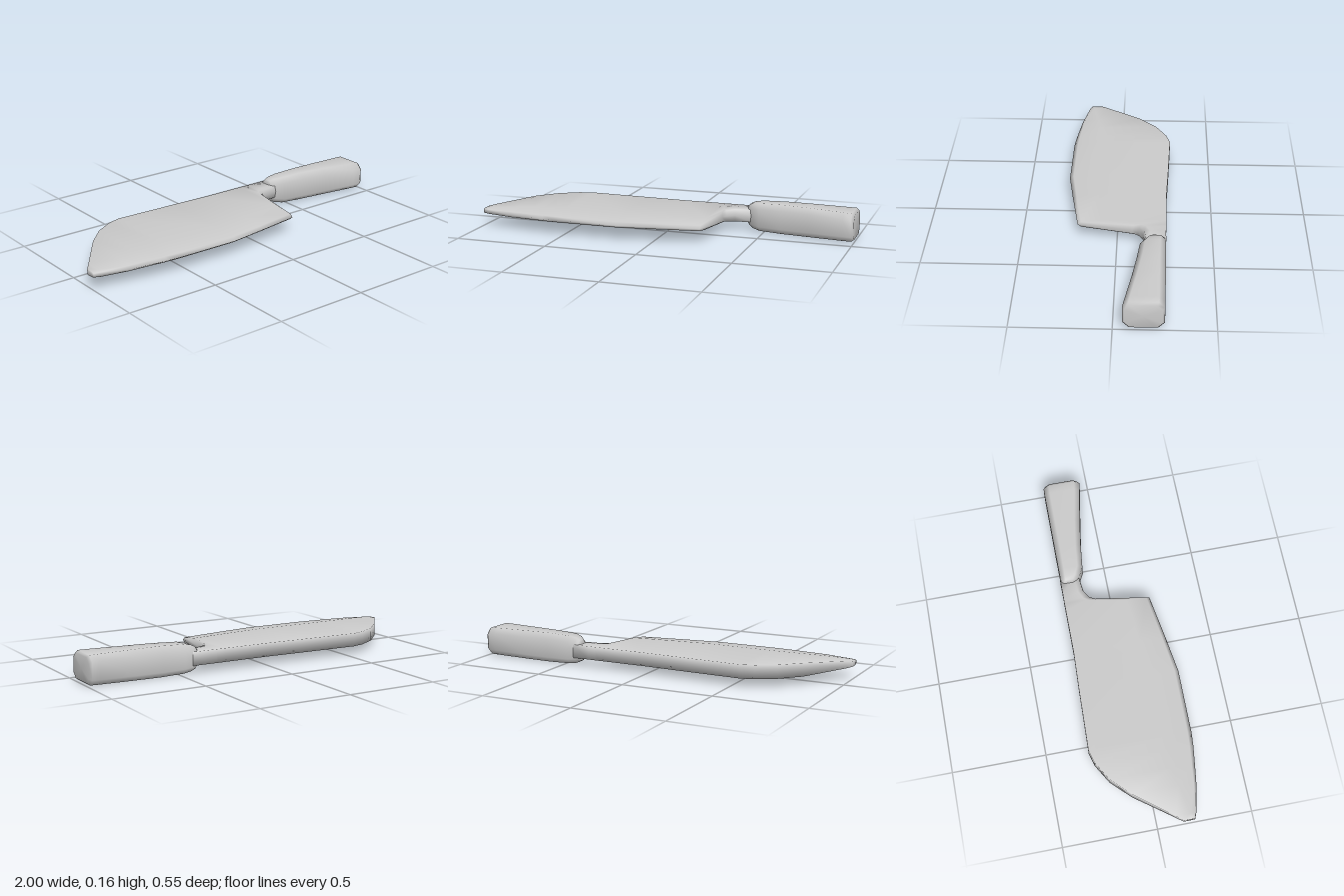
import * as THREE from 'three';

const MID_Y = 0.081;

// Skin a list of closed rings ([x, y, z] points, running from y+ toward z+) with capped ends
function loft(rings, name) {
  const n = rings[0].length;
  const positions = rings.flat(2);
  const index = [];
  for (let i = 0; i < rings.length - 1; i++) {
    for (let j = 0; j < n; j++) {
      const k = (j + 1) % n;
      const a = i * n + j, b = i * n + k, c = b + n, d = a + n;
      index.push(a, b, c, a, c, d);
    }
  }
  const addCap = (ring, start, flip) => {
    const centre = positions.length / 3;
    for (let axis = 0; axis < 3; axis++) {
      positions.push(ring.reduce((sum, p) => sum + p[axis], 0) / n);
    }
    for (let j = 0; j < n; j++) {
      const a = start + j, b = start + (j + 1) % n;
      index.push(centre, flip ? b : a, flip ? a : b);
    }
  };
  addCap(rings[0], 0, true);
  addCap(rings[rings.length - 1], (rings.length - 1) * n, false);

  const geometry = new THREE.BufferGeometry();
  geometry.setAttribute('position', new THREE.Float32BufferAttribute(positions, 3));
  geometry.setIndex(index);
  geometry.computeVertexNormals();
  const mesh = new THREE.Mesh(geometry, new THREE.MeshStandardMaterial({ color: 0xcccccc }));
  mesh.name = name;
  return mesh;
}

// Wedge section: thick spine at the back, bevel and cutting edge at the front
function bladeRing([x, spine, edge, hSpine, hFlat, hBevel]) {
  const at = (f, h) => [x, MID_Y + h, THREE.MathUtils.lerp(spine, edge, f)];
  return [
    at(0, hSpine), at(0.72, hFlat), at(0.96, hBevel),
    at(1, 0),
    at(0.96, -hBevel), at(0.72, -hFlat), at(0, -hSpine),
  ];
}

// Chamfered rectangle section
function handleRing([x, back, front, h, c]) {
  const y = MID_Y - 0.001;
  return [
    [x, y + h, back + c], [x, y + h, front - c],
    [x, y + h - c, front], [x, y - h + c, front],
    [x, y - h, front - c], [x, y - h, back + c],
    [x, y - h + c, back], [x, y + h - c, back],
  ];
}

export function createModel() {
  const model = new THREE.Group();
  model.name = 'cleaver';

  // Blade from tip to heel, then the narrow neck running into the handle:
  // x, spine z, edge z, half thickness at spine, flat and bevel
  const blade = [
    [-1.0, 0.135, 0.195, 0.015, 0.014, 0.010],
    [-0.97, 0.098, 0.207, 0.020, 0.017, 0.012],
    [-0.82, -0.10, 0.240, 0.035, 0.026, 0.015],
    [-0.72, -0.20, 0.254, 0.036, 0.029, 0.015],
    [-0.62, -0.258, 0.267, 0.036, 0.030, 0.015],
    [-0.55, -0.278, 0.273, 0.036, 0.030, 0.015],
    [-0.20, -0.266, 0.276, 0.036, 0.030, 0.015],
    [0.0, -0.257, 0.247, 0.036, 0.030, 0.015],
    [0.245, -0.256, 0.208, 0.036, 0.030, 0.015],
    [0.285, -0.256, -0.08, 0.036, 0.034, 0.026],
    [0.30, -0.256, -0.11, 0.036, 0.035, 0.030],
    [0.34, -0.255, -0.138, 0.036, 0.036, 0.033],
    [0.435, -0.255, -0.15, 0.036, 0.036, 0.034],
  ];
  model.add(loft(blade.map(bladeRing), 'blade'));

  // Handle, flaring toward the butt: x, back z, front z, half height, chamfer
  const handle = [
    [0.40, -0.242, -0.178, 0.050, 0.020],
    [0.41, -0.250, -0.163, 0.058, 0.023],
    [0.43, -0.252, -0.145, 0.068, 0.026],
    [0.475, -0.253, -0.122, 0.076, 0.028],
    [0.60, -0.253, -0.108, 0.080, 0.030],
    [0.75, -0.252, -0.086, 0.079, 0.030],
    [0.94, -0.251, -0.053, 0.076, 0.030],
    [0.985, -0.250, -0.046, 0.075, 0.030],
    [1.0, -0.240, -0.056, 0.065, 0.026],
  ];
  model.add(loft(handle.map(handleRing), 'handle'));

  return model;
}
